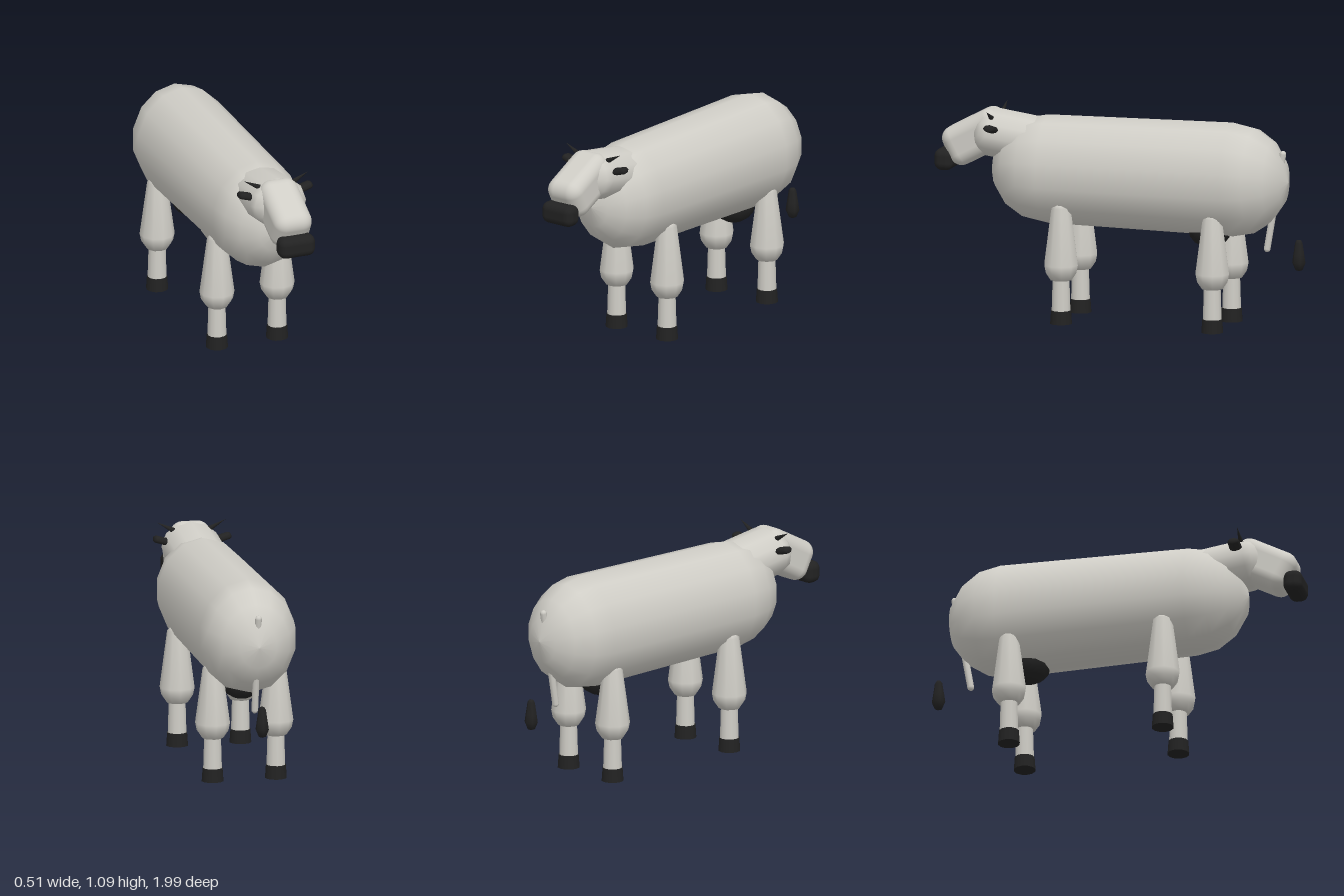
import * as THREE from 'three';
import { RoundedBoxGeometry } from 'three/addons/geometries/RoundedBoxGeometry.js';

const material = (name, color) => {
  const m = new THREE.MeshStandardMaterial({ color });
  m.name = name;
  return m;
};

export function createModel() {
  const model = new THREE.Group();
  model.name = 'cow';
  const hide = material('pale grey hide', 0xcfcdc6);
  const dark = material('charcoal', 0x222222);

  const add = (name, geometry, mat, x = 0, y = 0, z = 0, parent = model) => {
    const mesh = new THREE.Mesh(geometry, mat);
    mesh.name = name;
    mesh.position.set(x, y, z);
    parent.add(mesh);
    return mesh;
  };
  // Revolved solid from [radius, height] pairs listed bottom to top
  const turned = (points, sides) =>
    new THREE.LatheGeometry(points.map(([r, h]) => new THREE.Vector2(r, h)), sides);
  // Rounded barrel lying along z, from a back dome to a front dome
  const barrel = (zBack, rBack, dBack, zFront, rFront, dFront, steps, sides) => {
    const points = [];
    for (let i = 0; i <= steps; i++) {
      const a = (i / steps) * Math.PI / 2;
      points.push([rBack * Math.sin(a), zBack - dBack * Math.cos(a)]);
    }
    for (let i = 0; i <= steps; i++) {
      const a = (i / steps) * Math.PI / 2;
      points.push([rFront * Math.cos(a), zFront + dFront * Math.sin(a)]);
    }
    return turned(points, sides).rotateX(Math.PI / 2);
  };

  // Body
  add('body', barrel(-0.6, 0.3, 0.3, 0.4, 0.286, 0.3, 4, 14).scale(0.855, 1, 1), hide, 0, 0.778, 0);

  // Neck and skull, tipped slightly upward
  const skull = add('neckAndSkull',
    barrel(-0.23, 0.13, 0.08, 0, 0.13, 0.1, 4, 12).scale(1.19, 1, 1), hide, 0, 0.955, 0.70);
  skull.rotation.x = -0.14;

  // Snout sloping down to a dark muzzle
  const snout = add('snout', new RoundedBoxGeometry(0.21, 0.215, 0.34, 4, 0.065), hide, 0, 0.93, 0.785);
  snout.rotation.x = 0.49;
  add('muzzle', new RoundedBoxGeometry(0.2, 0.115, 0.1, 3, 0.04), dark, 0, 0.807, 0.948);

  for (const side of [-1, 1]) {
    // Ears
    const ear = add('ear', turned([[0, -0.05], [0.013, -0.05], [0.02, -0.035], [0.019, 0.035],
      [0.013, 0.045], [0, 0.045]], 8).scale(1, 1, 1.7), dark, side * 0.16, 0.998, 0.663);
    ear.rotation.z = -side * 1.28;
    // Horns
    const horn = add('horn', new THREE.ConeGeometry(0.018, 0.125, 8), dark, side * 0.127, 1.062, 0.68);
    horn.rotation.z = -side * 1.08;

    // Legs
    for (const [name, z, top] of [['frontLeg', 0.28, 0.64], ['hindLeg', -0.54, 0.63]]) {
      const leg = new THREE.Group();
      leg.name = name;
      leg.position.set(side * 0.168, 0, z);
      model.add(leg);
      add('thigh', turned([[0, 0.23], [0.056, 0.23], [0.083, 0.27], [0.091, 0.31], [0.052, top - 0.03],
        [0.033, top - 0.01], [0, top]], 10), hide, 0, 0, 0, leg);
      add('shin', new THREE.CylinderGeometry(0.044, 0.05, 0.2, 12), hide, 0, 0.16, 0, leg);
      add('hoof', new THREE.CylinderGeometry(0.053, 0.058, 0.07, 12), dark, 0, 0.035, 0, leg);
    }
  }

  // Udder
  add('udder', new THREE.SphereGeometry(1, 12, 8).scale(0.11, 0.095, 0.115), dark, 0, 0.51, -0.475);

  // Tail rod and its separate tuft
  const tail = add('tail', new THREE.CapsuleGeometry(0.018, 0.51, 3, 8), hide, 0, 0.675, -0.828);
  tail.rotation.x = -0.168;
  add('tailTuft', turned([[0, 0.315], [0.02, 0.322], [0.036, 0.36], [0.03, 0.4], [0.02, 0.465],
    [0.012, 0.478], [0, 0.48]], 6), dark, 0, 0, -0.957);

  return model;
}
